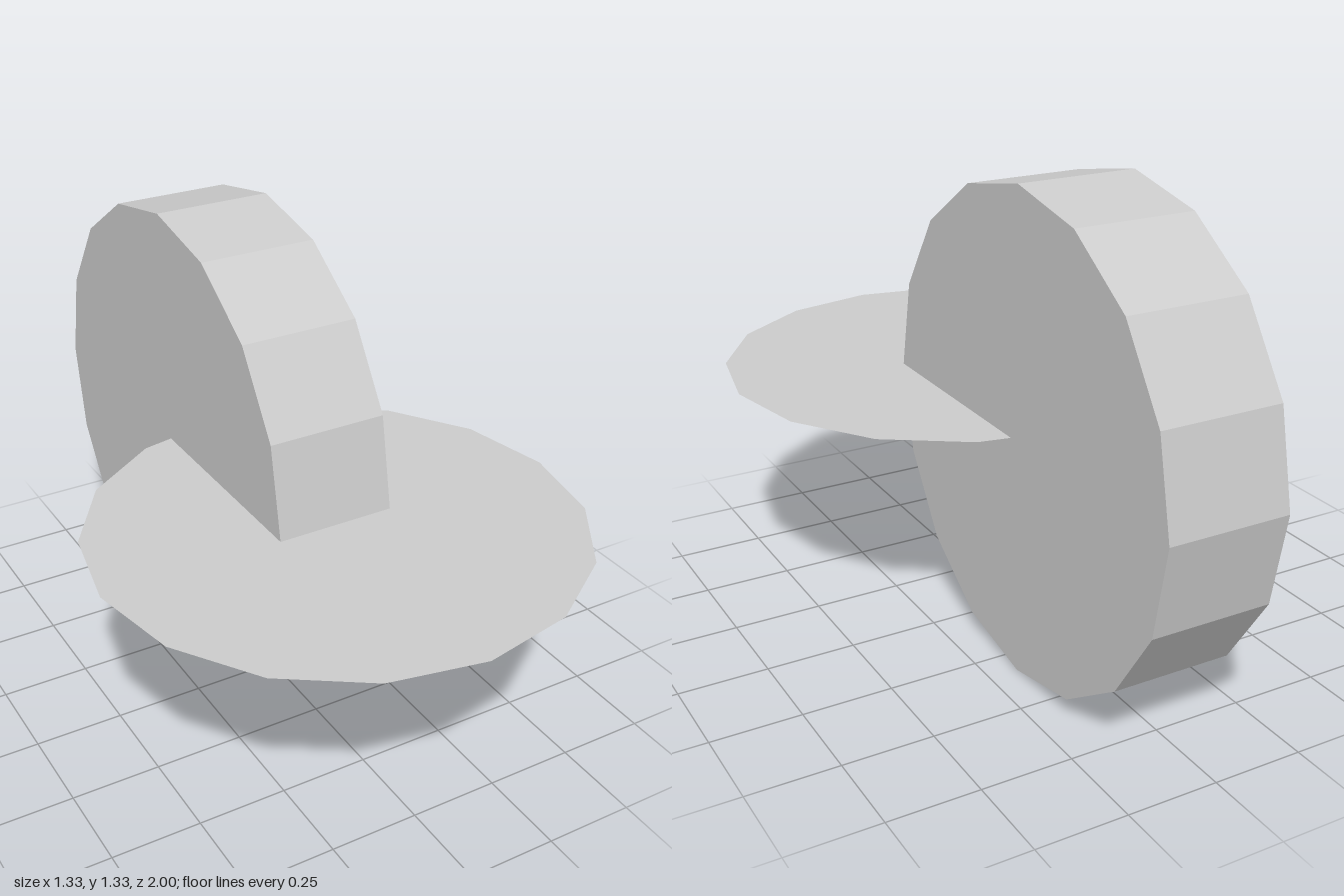
import * as THREE from 'three';

export function createModel() {
  const group = new THREE.Group();
  const radius = 2 / 3, width = 1 / 3, offset = 1 / 3, sides = 16;

  // Upright solid wheel, axle along x
  const wheel = new THREE.Mesh(
    new THREE.CylinderGeometry(radius, radius, width, sides).rotateZ(Math.PI / 2),
    new THREE.MeshStandardMaterial({ color: 0xcccccc, flatShading: true })
  );
  wheel.name = 'wheel';
  wheel.position.set(0, radius, -offset);

  // Flat horizontal disc cutting through the wheel at axle height
  const disc = new THREE.Mesh(
    new THREE.CircleGeometry(radius, sides).rotateX(-Math.PI / 2),
    new THREE.MeshStandardMaterial({ color: 0xcccccc, flatShading: true, side: THREE.DoubleSide })
  );
  disc.name = 'disc';
  disc.position.set(0, radius, offset);

  group.add(wheel, disc);
  return group;
}
